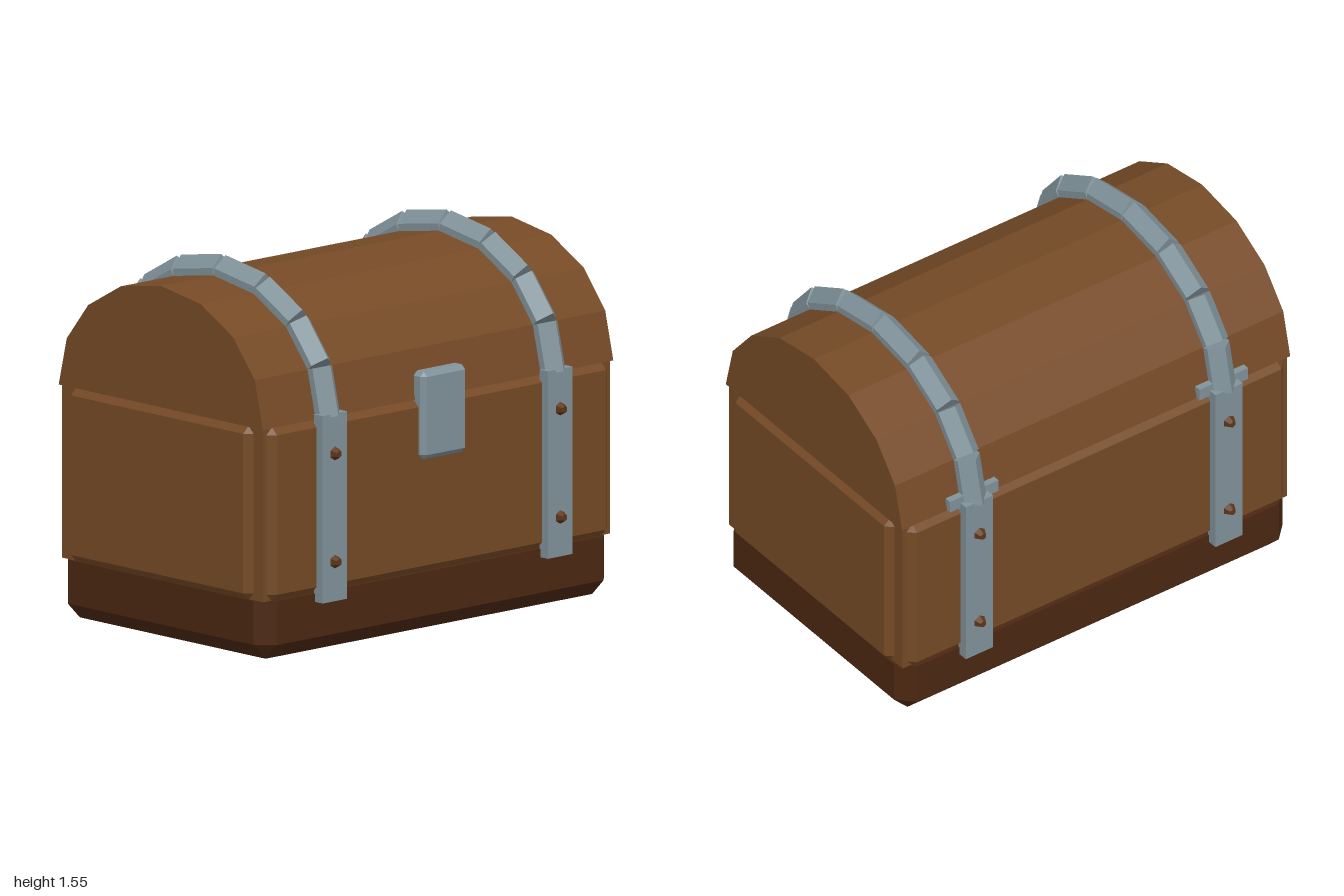
import * as THREE from 'three';
import { ConvexGeometry } from 'three/addons/geometries/ConvexGeometry.js';

const mat = (name, color) => {
  const m = new THREE.MeshStandardMaterial({ color });
  m.name = name;
  return m;
};

// Box with all edges chamfered by b; flatTop leaves the upper rim square
function bevelBox(w, h, d, b, flatTop = false) {
  const X = w / 2, Y = h / 2, Z = d / 2, pts = [];
  for (const sx of [-1, 1]) for (const sy of [-1, 1]) for (const sz of [-1, 1]) {
    const add = (x, y, z) => pts.push(new THREE.Vector3(sx * x, sy * y, sz * z));
    const square = flatTop && sy > 0;
    const y = square ? Y : Y - b;
    add(X, y, Z - b);
    add(X - b, y, Z);
    if (!square) add(X - b, Y, Z - b);
  }
  return new ConvexGeometry(pts);
}

export function createModel() {
  const wood = mat('wood', 0x754a26);
  const darkWood = mat('dark wood', 0x4b2711);
  const metal = mat('metal', 0x80929a);
  const rivetMat = mat('rivet brown', 0x5e3618);
  const chest = new THREE.Group();
  chest.name = 'chest';

  const add = (name, geometry, material, x, y, z) => {
    const mesh = new THREE.Mesh(geometry, material);
    mesh.name = name;
    mesh.position.set(x, y, z);
    chest.add(mesh);
    return mesh;
  };

  // Base and body: a core with raised front/back and side panels
  add('base', bevelBox(1.96, 0.25, 1.235, 0.067, true), darkWood, 0, 0.125, 0);
  add('bodyCore', new THREE.BoxGeometry(1.94, 0.718, 1.19), wood, 0, 0.609, 0);
  add('frontBackPanels', bevelBox(1.9, 0.724, 1.25, 0.03), wood, 0, 0.61, 0);
  add('sidePanels', bevelBox(2, 0.724, 1.08, 0.03), wood, 0, 0.61, 0);

  // Faceted barrel lid; profile runs back to front as (z, y)
  const half = [[0.605, 0.97], [0.557, 1.17], [0.43, 1.328], [0.237, 1.436]];
  const profile = [
    ...half.map(([z, y]) => new THREE.Vector2(-z, y)),
    new THREE.Vector2(0, 1.475),
    ...half.map(([z, y]) => new THREE.Vector2(z, y)).reverse(),
  ];
  const lid = new THREE.ExtrudeGeometry(new THREE.Shape(profile), { depth: 1.96, bevelEnabled: false });
  lid.translate(0, 0, -0.98).rotateY(-Math.PI / 2);
  add('lid', lid, wood, 0, 0, 0);

  // Ridged cross-section of the lid bands
  const bandShape = new THREE.Shape([
    [-0.055, 0], [0.055, 0], [0.055, 0.03], [0, 0.08], [-0.055, 0.03],
  ].map(([x, y]) => new THREE.Vector2(x, y)));

  for (const x of [-0.63, 0.63]) {
    // One band segment on each lid facet
    for (let i = 0; i < profile.length - 1; i++) {
      const p = profile[i], q = profile[i + 1];
      const len = p.distanceTo(q);
      const seg = new THREE.ExtrudeGeometry(bandShape, { depth: len, bevelEnabled: false });
      seg.translate(0, 0, -len / 2);
      const mesh = add('lidBand', seg, metal, x, (p.y + q.y) / 2, (p.x + q.x) / 2);
      mesh.rotation.x = -Math.atan2(q.y - p.y, q.x - p.x);
    }

    // Upright straps with rivets, front and back
    for (const s of [-1, 1]) {
      add('strap', new THREE.BoxGeometry(0.138, 0.78, 0.05), metal, x, 0.605, s * 0.636);
      for (const y of [0.38, 0.83]) {
        const rivet = new THREE.CylinderGeometry(0.015, 0.029, 0.028, 6).toNonIndexed();
        rivet.computeVertexNormals();
        rivet.rotateX(s * Math.PI / 2);
        add('rivet', rivet, rivetMat, x, y, s * 0.674);
      }
    }

    // Hinge plate at the back
    add('hinge', new THREE.BoxGeometry(0.245, 0.055, 0.03), metal, x, 0.998, -0.61);
  }

  // Lock plate
  add('lock', bevelBox(0.25, 0.365, 0.078, 0.02), metal, -0.004, 0.907, 0.617);

  return chest;
}
